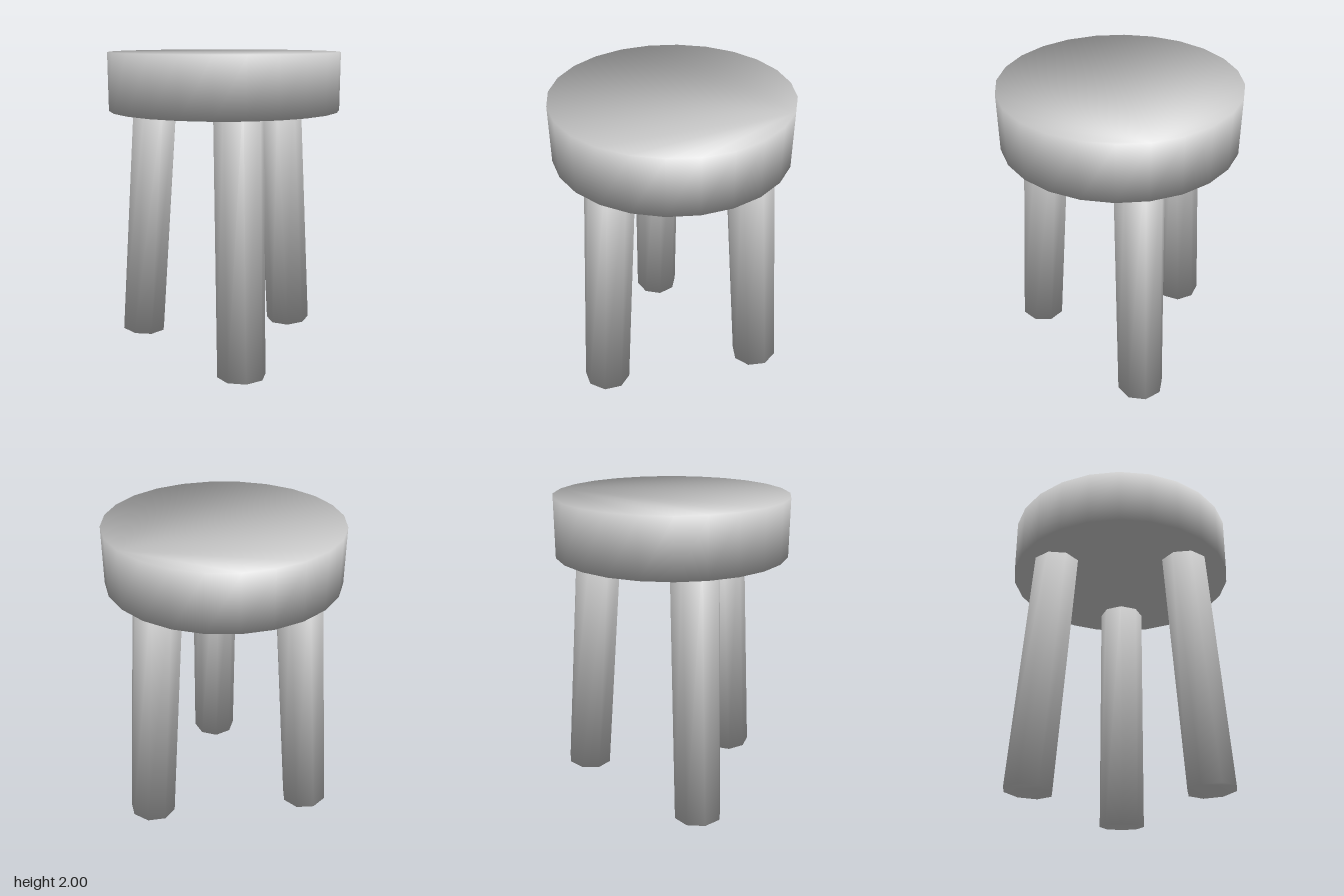
import * as THREE from 'three';

// Solid prism standing on its origin, with normals shared softly between wall and caps
function softPrism(radius, height, sides) {
  const position = [], normal = [], index = [];
  // corner normal: balance of wall and cap angles meeting there
  const out = Math.PI * Math.cos(Math.PI / sides);
  const up = Math.PI - (2 * Math.PI) / sides;
  const len = Math.hypot(out, up);
  for (const [y, sign] of [[0, -1], [height, 1]]) {
    for (let i = 0; i < sides; i++) {
      const a = (i / sides) * Math.PI * 2;
      position.push(radius * Math.cos(a), y, radius * Math.sin(a));
      normal.push((out / len) * Math.cos(a), (sign * up) / len, (out / len) * Math.sin(a));
    }
  }
  // wall
  for (let i = 0; i < sides; i++) {
    const j = (i + 1) % sides;
    index.push(i, i + sides, j, j, i + sides, j + sides);
  }
  // caps
  for (let i = 1; i < sides - 1; i++) {
    index.push(0, i, i + 1);
    index.push(sides, sides + i + 1, sides + i);
  }
  const geometry = new THREE.BufferGeometry();
  geometry.setAttribute('position', new THREE.Float32BufferAttribute(position, 3));
  geometry.setAttribute('normal', new THREE.Float32BufferAttribute(normal, 3));
  geometry.setIndex(index);
  return geometry;
}

export function createModel() {
  const grey = new THREE.MeshStandardMaterial({ color: 0xcccccc });
  grey.name = 'light grey';

  const stool = new THREE.Group();
  stool.name = 'stool';
  stool.position.x = -0.015;

  // thick round seat
  const seat = new THREE.Mesh(softPrism(0.756, 0.373, 24), grey);
  seat.name = 'seat';
  seat.position.y = 1.627;
  stool.add(seat);

  // three splayed legs
  const legGeometry = softPrism(0.155, 1.79, 8);
  ['leftLeg', 'backRightLeg', 'frontRightLeg'].forEach((name, i) => {
    const pivot = new THREE.Group();
    pivot.name = name;
    pivot.rotation.y = (i * Math.PI * 2) / 3;
    const leg = new THREE.Mesh(legGeometry, grey);
    leg.name = name + 'Post';
    leg.position.set(0.627, 0.013, 0);
    leg.rotation.z = 0.076;
    pivot.add(leg);
    stool.add(pivot);
  });

  const model = new THREE.Group();
  model.name = 'threeLeggedStool';
  model.add(stool);
  return model;
}
